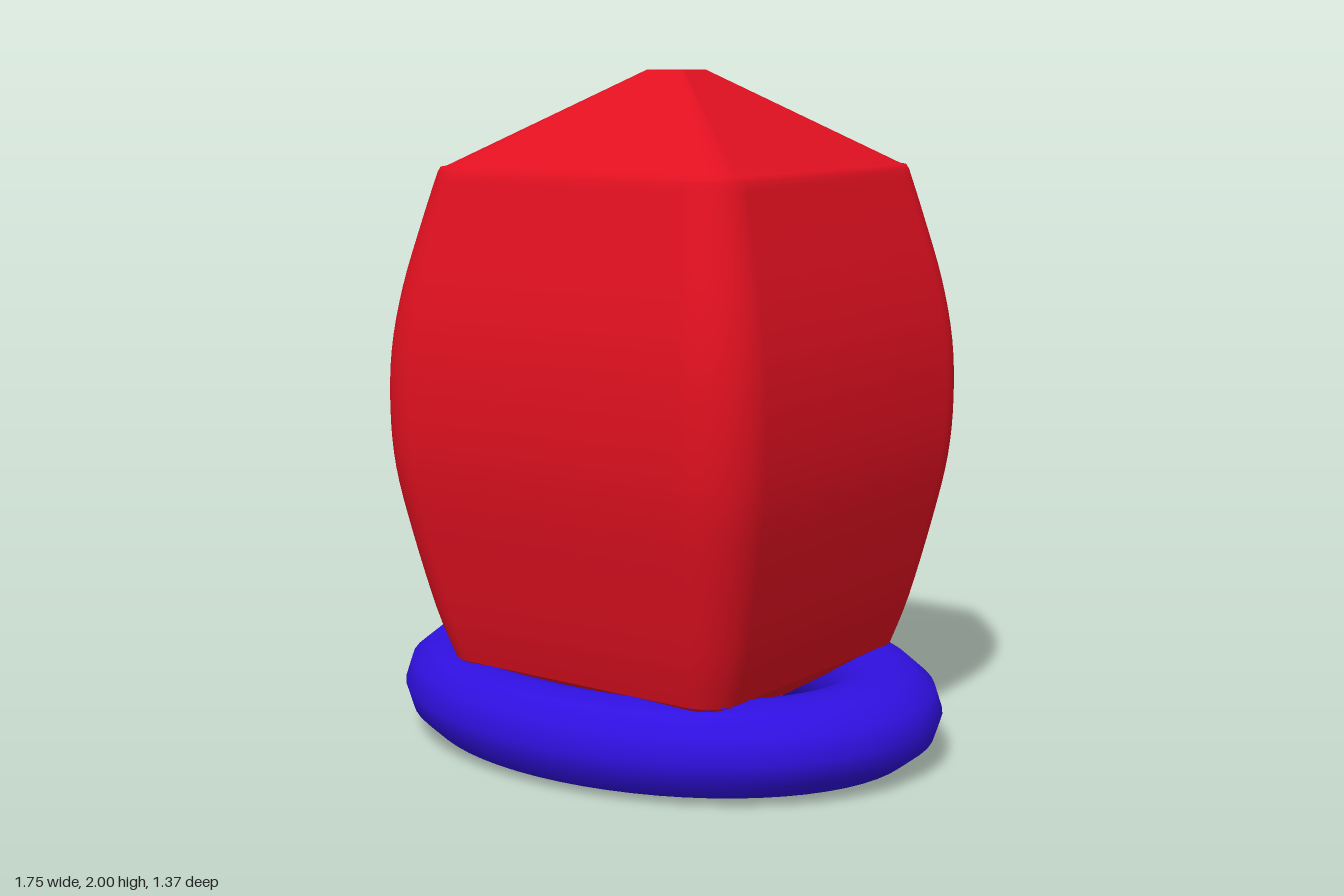
import * as THREE from 'three';

const CX = 0.04, CZ = 0.01; // the body sits slightly off the ring's centre

// Outline of a rounded square, running from +x towards -z
function roundedSquare(half, radius, steps = 8) {
  const pts = [];
  const c = half - radius;
  for (let k = 0; k < 4; k++) {
    const mid = Math.PI / 4 + k * Math.PI / 2;
    const sx = Math.sign(Math.cos(mid)), sz = Math.sign(Math.sin(mid));
    for (let i = 0; i <= steps; i++) {
      const a = (k + i / steps) * Math.PI / 2;
      pts.push([sx * c + radius * Math.cos(a), -(sz * c + radius * Math.sin(a))]);
    }
  }
  return pts;
}

// Skin over rounded squares given as [y, half width, corner radius], bottom to top
function loft(sections) {
  const pos = [], index = [];
  let n = 0;
  for (const [y, half, radius] of sections) {
    const ring = roundedSquare(half, radius);
    n = ring.length;
    for (const [x, z] of ring) pos.push(x, y, z);
  }
  for (let s = 0; s < sections.length - 1; s++) {
    for (let i = 0; i < n; i++) {
      const a = s * n + i, b = s * n + (i + 1) % n;
      index.push(a, b, b + n, a, b + n, a + n);
    }
  }
  const geo = new THREE.BufferGeometry();
  geo.setAttribute('position', new THREE.Float32BufferAttribute(pos, 3));
  geo.setIndex(index);
  geo.computeVertexNormals();
  return geo;
}

export function createModel() {
  const group = new THREE.Group();
  const red = new THREE.MeshStandardMaterial({ color: 0xe01020 });
  const blue = new THREE.MeshStandardMaterial({ color: 0x3010e0 });

  const add = (name, geo, mat, parent = group) => {
    const mesh = new THREE.Mesh(geo, mat);
    mesh.name = name;
    parent.add(mesh);
    return mesh;
  };

  const body = new THREE.Group();
  body.name = 'body';
  body.position.set(CX, 0, CZ);
  group.add(body);

  // Bulging walls: a smooth curve through a few half widths
  const curve = new THREE.SplineCurve([
    [0.5, 0.275], [0.545, 0.42], [0.6, 0.66], [0.635, 0.85], [0.646, 1.02],
    [0.64, 1.2], [0.612, 1.38], [0.565, 1.57], [0.527, 1.71],
  ].map(([x, y]) => new THREE.Vector2(x, y)));
  const walls = curve.getPoints(32).map((p) => [p.y, p.x, 0.11 + 0.06 * (p.x - 0.5) / 0.146]);
  walls.push([1.724, 0.515, 0.1], [1.727, 0.5, 0.09]);
  add('walls', loft(walls), red, body);

  // Pyramid ends, above and below, each with a small flat tip
  const pyramid = (y0, y1, h0, h1) => {
    const sections = [];
    for (let i = 0; i <= 8; i++) {
      const half = h0 + (h1 - h0) * i / 8;
      sections.push([y0 + (y1 - y0) * i / 8, half, half * 0.18]);
    }
    return loft(sections);
  };
  add('roof', pyramid(1.727, 2, 0.5, 0.065), red, body);
  add('underside', pyramid(0, 0.275, 0.065, 0.5), red, body);
  for (const [name, y, turn] of [['roofTip', 2, -1], ['undersideTip', 0, 1]]) {
    const tip = add(name, new THREE.PlaneGeometry(0.13, 0.13), red, body);
    tip.rotation.x = turn * Math.PI / 2;
    tip.position.y = y;
  }

  // Oval ring around the base
  const torus = new THREE.TorusGeometry(1, 0.25, 12, 64);
  torus.rotateX(-Math.PI / 2);
  torus.scale(0.7, 0.548, 0.548);
  add('baseRing', torus, blue).position.y = 0.138;

  return group;
}
